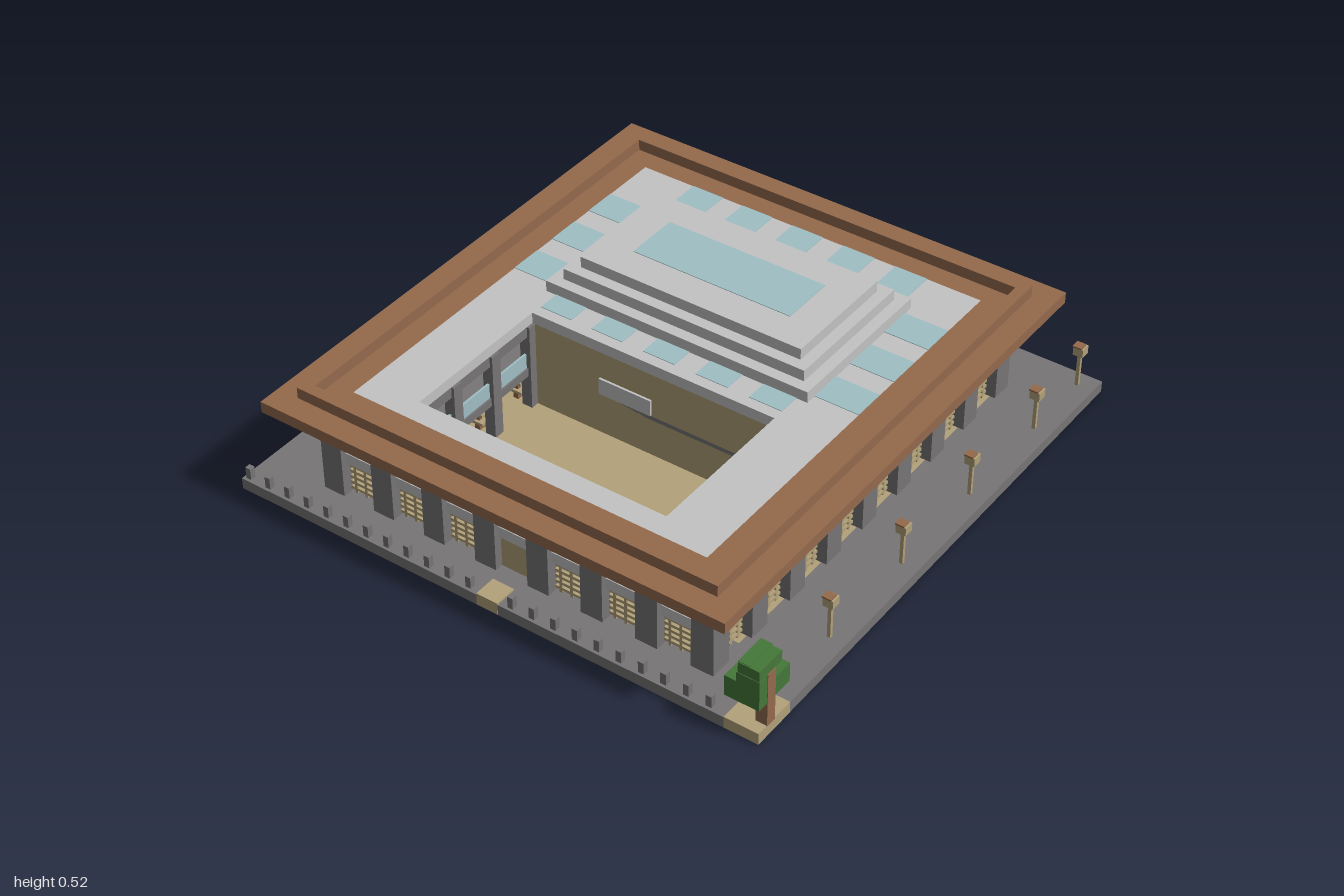
import * as THREE from 'three';

const mat = (name, color) => Object.assign(new THREE.MeshStandardMaterial({ color }), { name });
const M = {
  stone: mat('stone grey', 0x777575),
  pale: mat('pale concrete', 0xc3c3c3),
  wood: mat('brown wood', 0x946a4c),
  tan: mat('tan sandstone', 0xb3a27a),
  glass: mat('blue glass', 0x9fbfc4),
  leaf: mat('leaf green', 0x45783a),
};

export function createModel() {
  const model = new THREE.Group();
  model.name = 'courtyardBuilding';
  let target = model;
  const part = (name, build) => {
    const g = new THREE.Group();
    g.name = name;
    model.add(g);
    target = g;
    build();
    target = model;
  };
  // Box from its limits
  const box = (name, m, x0, x1, y0, y1, z0, z1) => {
    const mesh = new THREE.Mesh(new THREE.BoxGeometry(x1 - x0, y1 - y0, z1 - z0), m);
    mesh.position.set((x0 + x1) / 2, (y0 + y1) / 2, (z0 + z1) / 2);
    mesh.name = name;
    target.add(mesh);
  };
  // Flat slab with one rectangular opening; o and h are [x0, x1, z0, z1]
  const ring = (name, m, y0, y1, o, h) => {
    box(name, m, o[0], h[0], y0, y1, o[2], o[3]);
    box(name, m, h[1], o[1], y0, y1, o[2], o[3]);
    box(name, m, h[0], h[1], y0, y1, o[2], h[2]);
    box(name, m, h[0], h[1], y0, y1, h[3], o[3]);
  };
  const court = [-0.72, -0.16, -0.465, 0.46];

  // Ground slab with the inner floors set into it
  part('base', () => {
    ring('paving', M.stone, 0, 0.04, [-1, 1, -0.98, 0.98], [-0.72, 0.76, -0.72, 0.72]);
    ring('innerFloor', M.tan, 0.002, 0.04, [-0.72, 0.76, -0.72, 0.72], [-0.06, 0.7, -0.48, 0.48]);
    box('hallFloor', M.wood, -0.06, 0.7, 0.002, 0.04, -0.48, 0.48);
    for (let k = 0; k < 7; k++) for (const s of [-1, 1])
      box('threshold', M.wood, -0.6 + 0.2 * k, -0.52 + 0.2 * k, 0, 0.003, s * 0.69 - 0.03, s * 0.69 + 0.03);
    for (let k = -3; k <= 3; k++) for (const x of [-0.69, 0.73])
      box('threshold', M.wood, x - 0.03, x + 0.03, 0, 0.003, 0.2 * k - 0.04, 0.2 * k + 0.04);
    box('planterBed', M.tan, -1.001, -0.84, 0.001, 0.043, 0.86, 0.981);
    box('doorStep', M.tan, -1.001, -0.92, 0.001, 0.046, -0.04, 0.04);
  });

  // Perimeter piers
  part('piers', () => {
    for (let k = 0; k < 9; k++) for (const z of [-0.7, 0.7])
      box('pier', M.stone, -0.88 + 0.2 * k, -0.8 + 0.2 * k, 0.04, 0.36, z - 0.04, z + 0.04);
    for (let k = 1; k < 7; k++) for (const x of [-0.84, 0.76])
      box('pier', M.stone, x - 0.04, x + 0.04, 0.04, 0.36, -0.74 + 0.2 * k, -0.66 + 0.2 * k);
  });

  // One bay of glazing over an open lattice, in local coordinates facing +z
  const bay = (x, z, turn, door) => {
    const g = new THREE.Group();
    g.name = 'bay';
    g.position.set(x, 0, z);
    g.rotation.y = turn;
    target.add(g);
    const keep = target;
    target = g;
    box('window', M.glass, -0.06, 0.06, 0.2, 0.36, -0.015, 0.005);
    box('spandrel', M.pale, -0.06, 0.06, 0.28, 0.32, -0.02, 0.012);
    box('floorBand', M.pale, -0.06, 0.06, 0.16, 0.2, -0.02, 0.02);
    if (door) box('door', M.tan, -0.06, 0.06, 0.04, 0.16, -0.01, 0.01);
    else {
      for (let i = 0; i < 5; i++)
        box('latticeRail', M.tan, -0.06, 0.06, 0.05 + 0.022 * i, 0.06 + 0.022 * i, -0.005, 0.005);
      for (let i = -1; i <= 1; i++)
        box('latticePost', M.tan, i * 0.04 - 0.005, i * 0.04 + 0.005, 0.04, 0.16, -0.005, 0.005);
    }
    target = keep;
  };
  part('facades', () => {
    for (let k = 0; k < 8; k++) {
      bay(-0.74 + 0.2 * k, 0.7, 0);
      bay(-0.74 + 0.2 * k, -0.7, Math.PI);
    }
    for (let k = -3; k <= 3; k++) {
      bay(0.76, 0.2 * k, Math.PI / 2, k === 0);
      bay(-0.84, 0.2 * k, -Math.PI / 2, k === 0);
    }
  });

  // Upper floor and bookshelves below it
  part('interior', () => {
    ring('upperFloor', M.stone, 0.165, 0.195, [-0.82, 0.74, -0.68, 0.68], court);
    for (let k = 0; k < 6; k++) for (const s of [-1, 1]) {
      const x = -0.58 + 0.2 * k;
      box('shelfBack', M.wood, x, x + 0.08, 0.04, 0.15, s * 0.53 - 0.01, s * 0.53 + 0.01);
      for (let j = 0; j < 3; j++)
        box('shelf', M.tan, x - 0.01, x + 0.09, 0.07 + 0.035 * j, 0.08 + 0.035 * j, s * 0.53 - 0.03, s * 0.53 + 0.03);
    }
    for (let k = -2; k <= 2; k++) {
      box('shelfBack', M.wood, 0.53, 0.55, 0.04, 0.15, 0.2 * k - 0.04, 0.2 * k + 0.04);
      for (let j = 0; j < 3; j++)
        box('shelf', M.tan, 0.51, 0.57, 0.07 + 0.035 * j, 0.08 + 0.035 * j, 0.2 * k - 0.05, 0.2 * k + 0.05);
    }
  });

  // Sunken courtyard with gallery, glass balustrade and stairs
  part('courtyard', () => {
    box('hallWall', M.tan, -0.16, -0.14, 0.04, 0.36, court[2], court[3]);
    box('hallOpening', M.pale, -0.168, -0.16, 0.2, 0.26, -0.2, 0);
    for (const z of [-0.475, 0.47]) {
      box('fascia', M.stone, -0.72, -0.16, 0.32, 0.36, z - 0.01, z + 0.01);
      box('balustrade', M.glass, -0.64, -0.16, 0.195, 0.25, z - 0.004, z + 0.004);
      for (let k = 0; k < 4; k++)
        box('column', M.stone, -0.76 + 0.19 * k, -0.72 + 0.19 * k, 0.04, 0.36, z - 0.02, z + 0.02);
    }
    box('fascia', M.stone, -0.74, -0.72, 0.32, 0.36, court[2], court[3]);
    box('balustrade', M.glass, -0.732, -0.724, 0.195, 0.25, -0.3, 0.3);
    for (let k = -1; k <= 1; k++)
      box('column', M.stone, -0.76, -0.72, 0.04, 0.36, 0.23 * k - 0.02, 0.23 * k + 0.02);
    for (const s of [-1, 1]) {
      for (let i = 0; i < 8; i++) {
        const z0 = s * (0.3 + 0.02 * i), z1 = s * (0.32 + 0.02 * i);
        box('stairStep', M.stone, -0.72, -0.64, 0.04, 0.06 + 0.02 * i, Math.min(z0, z1), Math.max(z0, z1));
      }
      for (let i = 0; i < 4; i++) {
        const z = s * (0.3 + 0.045 * i);
        box('stairRailPost', M.stone, -0.632, -0.624, 0.04, 0.12 + 0.04 * i, z - 0.004, z + 0.004);
      }
    }
  });

  // Overhanging roof, raised rim and inset roof lights
  part('roof', () => {
    ring('eaves', M.wood, 0.36, 0.4, [-1, 0.915, -0.86, 0.86], [-0.8, 0.72, -0.66, 0.66]);
    ring('rim', M.wood, 0.4, 0.44, [-0.92, 0.835, -0.78, 0.78], [-0.88, 0.795, -0.74, 0.74]);
    ring('roofDeck', M.pale, 0.36, 0.4, [-0.8, 0.72, -0.66, 0.66], court);
    for (let k = 0; k < 3; k++) for (const s of [-1, 1])
      box('roofLight', M.glass, 0.2 * k, 0.12 + 0.2 * k, 0.397, 0.402, s * 0.58 - 0.08, s * 0.58 + 0.08);
    for (let k = -2; k <= 2; k++) for (const [a, b] of [[-0.12, -0.04], [0.555, 0.72]])
      box('roofLight', M.glass, a, b, 0.397, 0.402, 0.2 * k - 0.06, 0.2 * k + 0.06);
  });
  part('steppedLantern', () => {
    for (let i = 0; i < 3; i++)
      box('lanternStep', M.pale, -0.04 + 0.04 * i, 0.555 - 0.04 * i, 0.4 + 0.04 * i, 0.44 + 0.04 * i, -0.5 + 0.04 * i, 0.5 - 0.04 * i);
    box('skylight', M.glass, 0.16, 0.36, 0.517, 0.522, -0.3, 0.3);
  });

  // Entrance canopy
  part('entranceCanopy', () => {
    box('canopy', M.pale, 0.8, 0.92, 0.165, 0.2, -0.14, 0.14);
    for (const z of [-0.08, 0.08]) {
      box('canopyPost', M.tan, 0.852, 0.862, 0.04, 0.165, z - 0.005, z + 0.005);
      box('handrail', M.tan, 0.8, 0.86, 0.11, 0.118, z - 0.004, z + 0.004);
    }
  });

  // Street lamps and bollards
  part('lamps', () => {
    const spots = [[0.94, 0.92], [0.94, -0.965]];
    for (const x of [-0.54, -0.14, 0.26, 0.66]) spots.push([x, 0.92]);
    for (const z of [0.6, 0.2, -0.2, -0.6]) spots.push([0.94, z]);
    for (const x of [-0.26, 0.14, 0.54]) spots.push([x, -0.965]);
    for (const [x, z] of spots) {
      box('lampPost', M.tan, x - 0.006, x + 0.006, 0.04, 0.165, z - 0.006, z + 0.006);
      box('lampHead', M.tan, x - 0.018, x + 0.018, 0.165, 0.196, z - 0.018, z + 0.018);
      box('lampCap', M.wood, x - 0.02, x + 0.012, 0.196, 0.202, z - 0.02, z + 0.012);
    }
  });
  part('bollards', () => {
    for (let z = -0.96; z < 0.83; z += 0.08)
      if (Math.abs(z) > 0.06) box('bollard', M.stone, -0.99, -0.97, 0.04, 0.082, z - 0.01, z + 0.01);
  });

  // Corner tree
  part('tree', () => {
    box('trunk', M.wood, -0.96, -0.92, 0.04, 0.24, 0.942, 0.982);
    box('lowerLeaves', M.leaf, -1, -0.84, 0.13, 0.205, 0.86, 0.94);
    box('sideLeaves', M.leaf, -1, -0.96, 0.13, 0.24, 0.9, 0.98);
    box('sideLeaves', M.leaf, -0.92, -0.845, 0.13, 0.2, 0.9, 0.98);
    box('upperLeaves', M.leaf, -0.995, -0.88, 0.2, 0.28, 0.902, 0.942);
    box('topLeaves', M.leaf, -0.998, -0.885, 0.24, 0.278, 0.905, 0.978);
  });

  return model;
}
